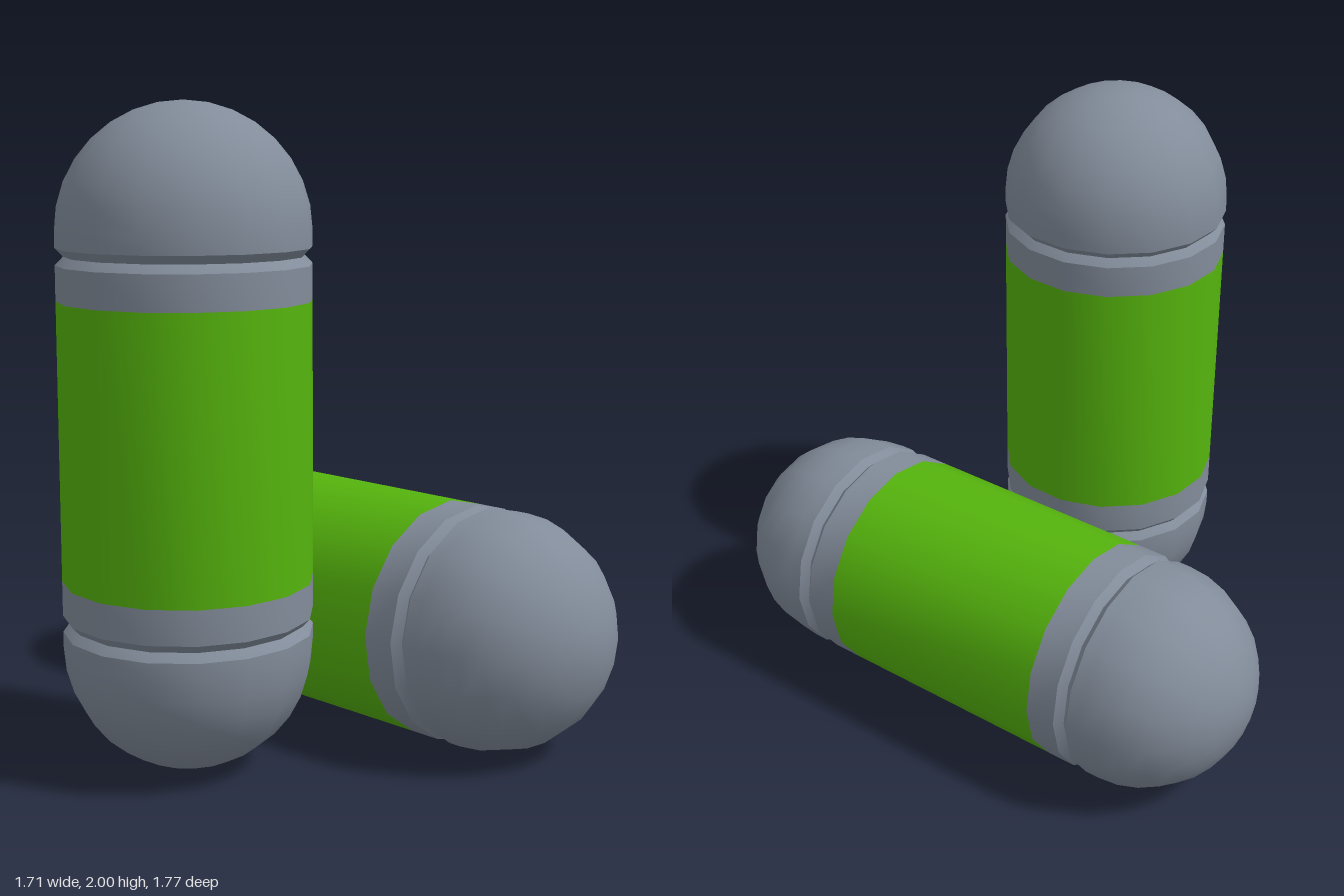
import * as THREE from 'three';
import { toCreasedNormals } from 'three/addons/utils/BufferGeometryUtils.js';

const R = 0.377;          // capsule radius
const HALF = 0.997;       // half of the capsule length
const SIDES = 16;

const slate = new THREE.MeshStandardMaterial({ color: 0x828c9a });
const green = new THREE.MeshStandardMaterial({ color: 0x55b40d });

// Revolve a bottom-to-top [radius, height] profile, keeping hard edges sharp
function turned(name, profile, material) {
  const points = profile.map(([r, y]) => new THREE.Vector2(r, y));
  const geometry = new THREE.LatheGeometry(points, SIDES, THREE.MathUtils.degToRad(-2));
  const mesh = new THREE.Mesh(toCreasedNormals(geometry, Math.PI / 6), material);
  mesh.name = name;
  return mesh;
}

// Band, V groove and domed cap, for the upper end
function endProfile() {
  const profile = [[R, 0.418], [R, 0.523], [R - 0.024, 0.548], [R, 0.573]];
  const steps = 8;
  for (let i = 0; i <= steps; i++) {
    const a = (i / steps) * Math.PI / 2;
    profile.push([i === steps ? 0 : R * Math.cos(a), HALF - R + R * Math.sin(a)]);
  }
  return profile;
}

function capsule(name) {
  const group = new THREE.Group();
  group.name = name;
  const top = endProfile();
  const bottom = top.map(([r, y]) => [r, -y]).reverse();
  group.add(
    turned('colouredSleeve', [[R, -0.418], [R, 0.418]], green),
    turned('upperCap', top, slate),
    turned('lowerCap', bottom, slate),
  );
  return group;
}

export function createModel() {
  const model = new THREE.Group();
  model.name = 'capsulePair';

  const standing = capsule('standingCapsule');
  standing.position.set(-0.479, 1.003, 0.495);

  // Lies on the ground, pointing diagonally to the front left
  const lying = capsule('lyingCapsule');
  lying.position.set(0.121, 0.379, 0);
  lying.rotation.set(Math.PI / 2, THREE.MathUtils.degToRad(34.8), 0, 'YXZ');

  model.add(standing, lying);
  return model;
}
